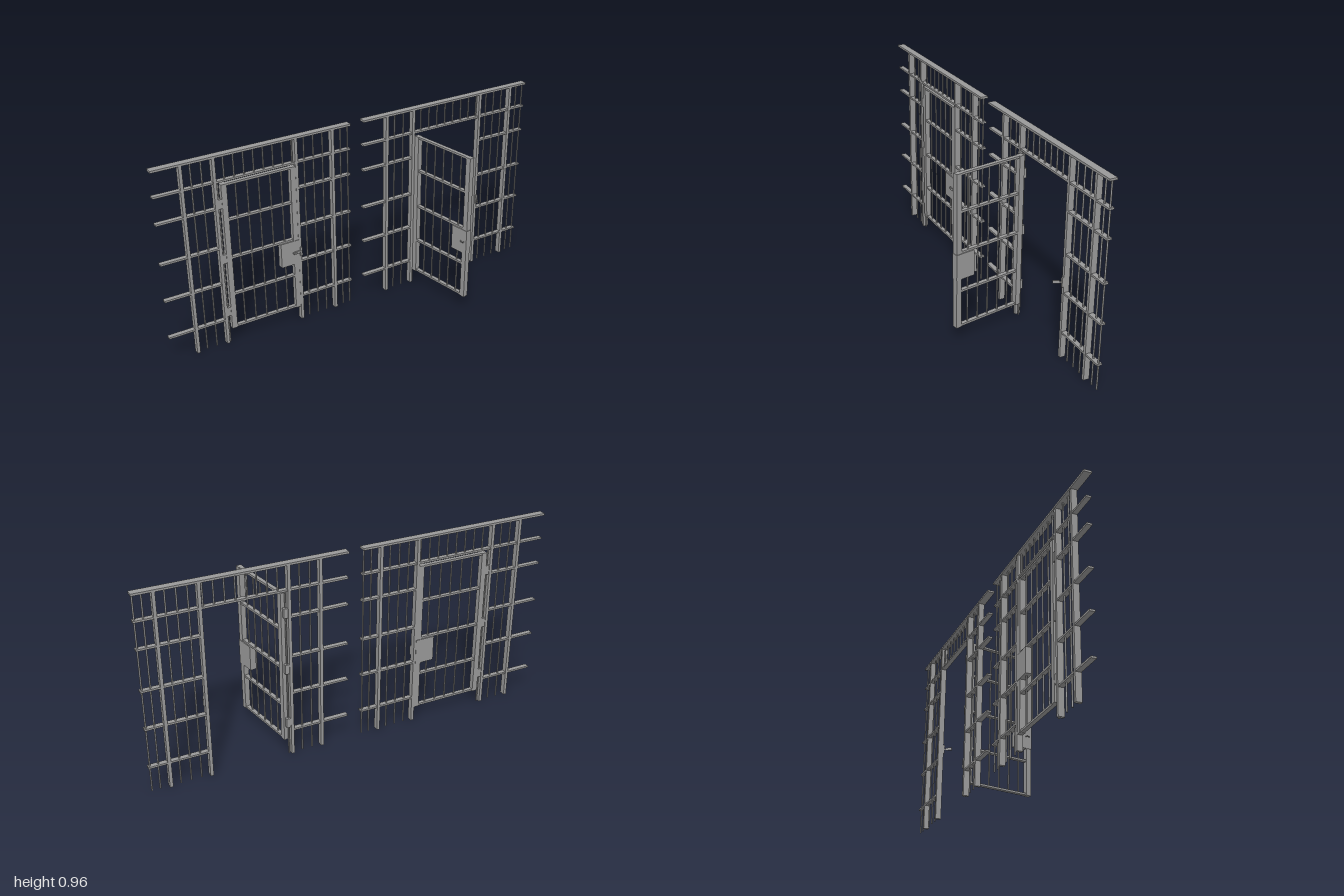
import * as THREE from 'three';

const steel = new THREE.MeshStandardMaterial({ color: 0x989898 });
const Z = -0.176; // plane of the barred wall

function add(parent, name, geometry, x, y, z) {
  const mesh = new THREE.Mesh(geometry, steel);
  mesh.name = name;
  mesh.position.set(x, y, z);
  parent.add(mesh);
  return mesh;
}

// Box given by its extents in x and y, centred on z
function slab(parent, name, x0, x1, y0, y1, depth, z = 0) {
  return add(parent, name, new THREE.BoxGeometry(x1 - x0, y1 - y0, depth), (x0 + x1) / 2, (y0 + y1) / 2, z);
}

// Thin upright round bar
function bar(parent, name, x, y0, y1) {
  return add(parent, name, new THREE.CylinderGeometry(0.004, 0.004, y1 - y0, 10), x, (y0 + y1) / 2, 0);
}

// Door with its hinge edge at the local origin, extending along +x
function makeDoor() {
  const door = new THREE.Group();
  door.name = 'door';
  const width = 0.366;
  slab(door, 'hingeStile', 0, 0.027, 0.072, 0.82, 0.026);
  slab(door, 'lockStile', width - 0.027, width, 0.072, 0.82, 0.026);
  for (const y of [0.078, 0.253, 0.446, 0.64, 0.815]) {
    slab(door, 'doorRail', 0.02, width - 0.02, y - 0.005, y + 0.005, 0.02);
  }
  for (let i = 0; i < 5; i++) bar(door, 'doorBar', 0.073 + i * 0.0563, 0.078, 0.815);
  slab(door, 'lockBox', 0.272, 0.368, 0.317, 0.442, 0.031);

  // Small pull loop on the lock box
  const loop = add(door, 'pullLoop', new THREE.TorusGeometry(0.01, 0.0025, 8, 16, Math.PI), 0.343, 0.38, 0.015);
  loop.rotation.x = Math.PI / 2;
  return door;
}

// Swinging latch arm fixed to the lock-side post
function makeLatch(angle) {
  const latch = new THREE.Group();
  latch.name = 'latch';
  slab(latch, 'latchPlate', -0.005, 0.005, 0.356, 0.402, 0.008, 0.004);
  const arm = new THREE.Group();
  arm.name = 'latchArm';
  slab(arm, 'latchNeck', -0.012, 0, 0.376, 0.384, 0.004);
  slab(arm, 'latchLever', -0.04, -0.01, 0.373, 0.387, 0.005);
  arm.position.z = 0.007;
  arm.rotation.y = angle;
  latch.add(arm);
  return latch;
}

// One wall section with a doorway
function makeSection(name, doorX, doorZ, doorAngle, latchAngle) {
  const section = new THREE.Group();
  section.name = name;
  const x0 = -1, x1 = -0.036, hingePost = -0.717, lockPost = -0.319;

  // Horizontal rails
  slab(section, 'topRail', x0, x1, 0.954, 0.964, 0.036);
  slab(section, 'headerRail', x0, x1, 0.832, 0.841, 0.024);
  for (const y of [0.128, 0.323, 0.51, 0.707]) {
    slab(section, 'leftRail', x0, hingePost, y - 0.0045, y + 0.0045, 0.024);
    slab(section, 'rightRail', lockPost, x1, y - 0.0045, y + 0.0045, 0.024);
  }

  // Posts and bars
  for (const x of [-0.867, hingePost, lockPost, -0.13]) {
    slab(section, 'post', x - 0.0075, x + 0.0075, 0, 0.956, 0.028);
  }
  for (const x of [-0.819, -0.77, -0.274, -0.226, -0.178, -0.083, -0.045]) {
    bar(section, 'wallBar', x, 0, 0.956);
  }
  for (let i = 0; i < 8; i++) bar(section, 'transomBar', -0.668 + i * 0.0475, 0.836, 0.956);

  // Hinge rod with three knuckles
  bar(section, 'hingeRod', -0.702, 0, 0.836);
  for (const y of [0.168, 0.45, 0.728]) {
    slab(section, 'hinge', -0.71, -0.69, y - 0.023, y + 0.023, 0.022);
  }

  const door = makeDoor();
  door.position.set(doorX, 0, doorZ);
  door.rotation.y = doorAngle;
  const latch = makeLatch(latchAngle);
  latch.position.set(lockPost + 0.003, 0, 0.014);
  section.add(door, latch);
  section.position.z = Z;
  return section;
}

export function createModel() {
  const { degToRad } = THREE.MathUtils;
  const model = new THREE.Group();
  model.name = 'barredWalls';
  const closed = makeSection('closedSection', -0.691, 0, 0, 0);
  const open = makeSection('openSection', -0.695, 0.007, degToRad(-80), degToRad(60));
  open.position.x = 1.035;
  model.add(closed, open);
  return model;
}
